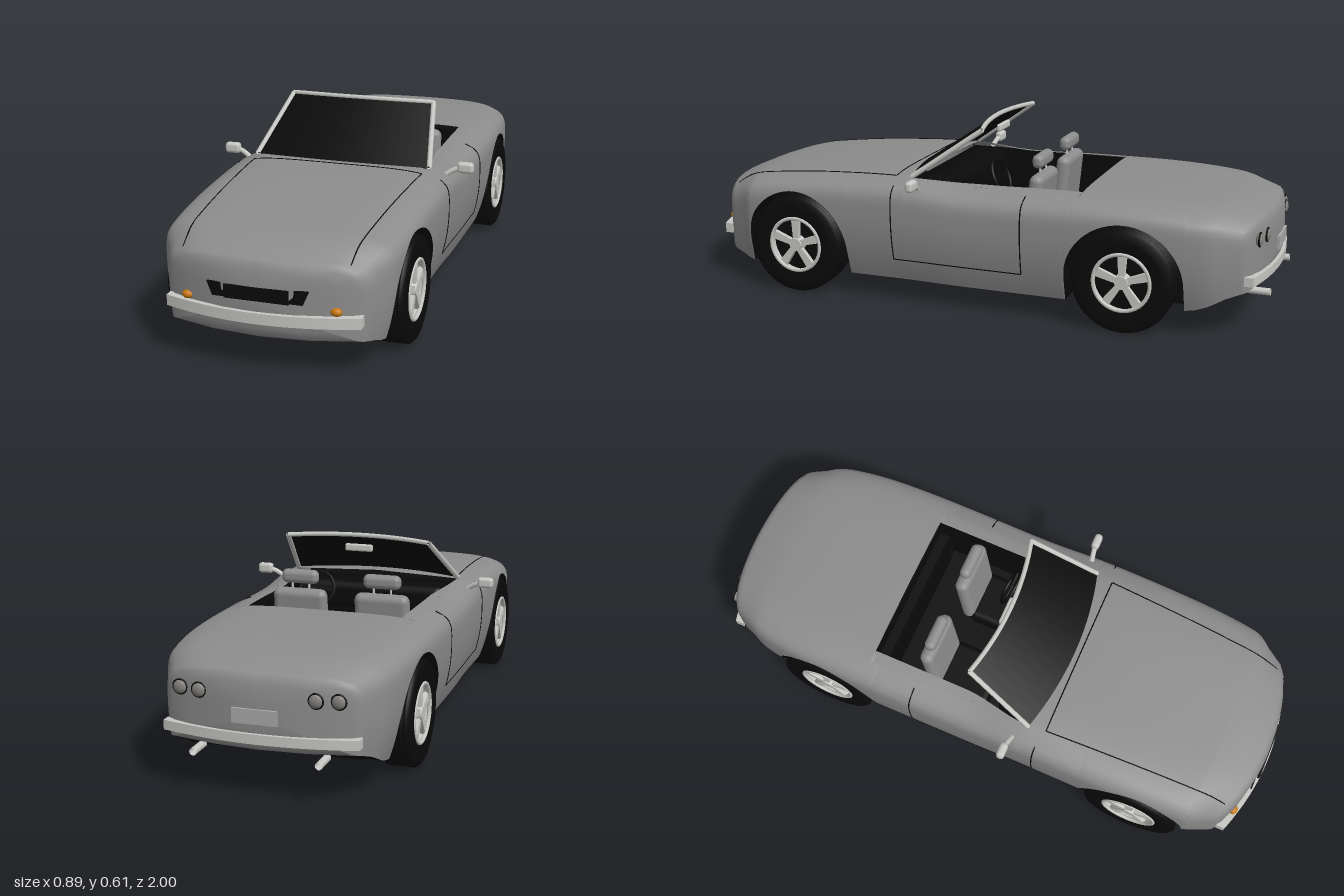
import * as THREE from 'three';
import { mergeVertices } from 'three/addons/utils/BufferGeometryUtils.js';
import { RoundedBoxGeometry } from 'three/addons/geometries/RoundedBoxGeometry.js';

const mat = (name, color, side = THREE.FrontSide) => {
  const m = new THREE.MeshStandardMaterial({ color, side });
  m.name = name;
  return m;
};
const V = (x, y, z) => new THREE.Vector3(x, y, z);
const lerp = THREE.MathUtils.lerp;

// Smooth curve through [position, value] pairs
function table(t) {
  const slope = i => {
    const a = t[Math.max(i - 1, 0)], b = t[Math.min(i + 1, t.length - 1)];
    return (b[1] - a[1]) / (b[0] - a[0]);
  };
  return s => {
    let i = 0;
    while (i < t.length - 2 && s > t[i + 1][0]) i++;
    const d = t[i + 1][0] - t[i][0], u = THREE.MathUtils.clamp((s - t[i][0]) / d, 0, 1);
    const w = u * u * (3 - 2 * u);
    return lerp(t[i][1], t[i + 1][1], w) + d * u * (1 - u) * ((1 - u) * slope(i) - u * slope(i + 1));
  };
}

// Body shape along the car: half width, top height, sill height
const halfWidth = table([[-.96, .31], [-.85, .35], [-.6, .382], [0, .385], [.5, .385], [.75, .375], [.88, .35], [.95, .32]]);
const topY = table([[-.96, .39], [-.85, .415], [-.6, .43], [-.3, .43], [0, .425], [.2, .44], [.5, .427], [.75, .402], [.88, .38], [.95, .35]]);
const sillY = table([[-.96, .15], [-.85, .11], [-.75, .085], [-.6, .08], [.7, .08], [.85, .085], [.95, .105]]);
const axles = [.615, -.556], archR = .195, archY = .165, REAR = -.96, FRONT = .95, N = 4.5;
const bottomY = s => {
  for (const c of axles) if (Math.abs(s - c) <= archR + 1e-4) return archY + Math.sqrt(Math.max(0, archR ** 2 - (s - c) ** 2));
  return sillY(s);
};
const rimX = s => (s >= -.39 && s <= .2 ? lerp(.265, .302, THREE.MathUtils.smoothstep(s, -.05, .2)) : 0);
const midY = s => topY(s) - .13;
const xAt = (s, y) => {
  const m = midY(s), W = halfWidth(s);
  if (y <= m) return W * (1 - .11 * ((m - y) / .22) ** 2);
  return W * (1 - Math.min(1, (y - m) / .13) ** N) ** (1 / N);
};
const yAt = (s, x) => midY(s) + .13 * (1 - Math.min(1, x / halfWidth(s)) ** N) ** (1 / N);
const bend = (s, x) => s - Math.sign(s) * (s > 0 ? .6 : .45) * THREE.MathUtils.smoothstep(Math.abs(s), .78, .95) * x * x;
const topPoint = (s, x, lift = 0) => V(x, yAt(s, Math.abs(x)) + lift, bend(s, x));

// Half cross-section from the floor centre, around the side, to the top centre or cockpit rim
function section(s) {
  const yb = bottomY(s), yk = midY(s) + .117, xb = xAt(s, yb), xk = xAt(s, yk), p = [[0, yb], [xb / 2, yb]];
  for (let i = 0; i <= 18; i++) { const y = lerp(yb, yk, i / 18); p.push([xAt(s, y), y]); }
  for (let i = 1; i <= 10; i++) { const x = lerp(xk, rimX(s), i / 10); p.push([x, yAt(s, x)]); }
  return p.map(([x, y]) => V(x, y, bend(s, x)));
}
// Rounded end sections that shrink to the middle of the nose or tail
function cap(s, cy) {
  return [[.97, .012], [.9, .022], [.7, .03], [.35, .034], [0, .035]].map(([f, d]) =>
    section(s).map(p => V(p.x * f, cy + (p.y - cy) * f, bend(s, p.x * f) + Math.sign(s) * d)));
}

// Surface through rows of points, optionally mirrored in x
function skin(rows, mirror) {
  const pos = [], idx = [];
  for (const k of mirror ? [1, -1] : [1]) {
    const base = pos.length / 3, n = rows[0].length;
    rows.forEach(r => r.forEach(p => pos.push(p.x * k, p.y, p.z)));
    for (let i = 0; i < rows.length - 1; i++) for (let j = 0; j < n - 1; j++) {
      const a = base + i * n + j, b = a + n, c = a + 1, d = b + 1;
      idx.push(...(k > 0 ? [a, c, b, b, c, d] : [a, b, c, b, d, c]));
    }
  }
  let g = new THREE.BufferGeometry();
  g.setAttribute('position', new THREE.Float32BufferAttribute(pos, 3));
  g.setIndex(idx);
  g = mergeVertices(g, 1e-5);
  g.computeVertexNormals();
  return g;
}

export function createModel() {
  const car = new THREE.Group();
  car.name = 'convertible';
  const paint = mat('grey paint', 0x8c8c8c, THREE.DoubleSide);
  const chrome = mat('light metal', 0xc6c6c2, THREE.DoubleSide);
  const black = mat('black', 0x0a0a0a, THREE.DoubleSide);
  const amber = mat('amber', 0xc8780f);
  const lampGrey = mat('lamp grey', 0x85827e);
  const plateGrey = mat('plate grey', 0xaaaaaa);
  const add = (name, geo, m, x = 0, y = 0, z = 0, parent = car) => {
    const o = new THREE.Mesh(geo, m);
    o.name = name;
    o.position.set(x, y, z);
    parent.add(o);
    return o;
  };
  const tube = (name, pts, r, m, seg = 24, sides = 8) =>
    add(name, new THREE.TubeGeometry(new THREE.CatmullRomCurve3(pts), seg, r, sides), m);
  const range = (n, f) => Array.from({ length: n + 1 }, (_, i) => f(i / n));

  // Body shell with open wheel arches and cockpit
  const stations = [-.391, -.39, .2, .201, ...range(44, t => lerp(REAR, FRONT, t)).filter(s => axles.every(c => Math.abs(s - c) > archR + .004))];
  for (const c of axles) stations.push(c - archR - .001, c + archR + .001, ...range(28, t => c + archR * Math.cos(Math.PI * t)));
  stations.sort((a, b) => a - b);
  const main = stations.map(section), tail = cap(REAR, .27).reverse(), nose = cap(FRONT, .23);
  const cut = (rows, a, b) => rows.map(r => r.slice(a, b));
  add('bodyShell', skin(cut([...tail, ...main, ...nose], 2), true), paint);
  add('noseUnderside', skin(cut([main.at(-1), ...nose], 0, 3), true), paint);
  add('tailUnderside', skin(cut([...tail, main[0]], 0, 3), true), paint);
  add('floorAndArches', skin(cut(main, 0, 3), true), black);
  add('underbody', new THREE.BoxGeometry(.52, .06, 1.6), black, 0, .112, .02);
  for (const c of axles) add('wheelTunnel', new THREE.BoxGeometry(.52, .26, .4), black, 0, .215, c);

  // Cockpit tub, open at the top
  const tub = new THREE.BoxGeometry(.59, .27, .6);
  const ti = [...tub.index.array];
  ti.splice(12, 6);
  tub.setIndex(ti);
  tub.clearGroups();
  add('cockpitTub', tub, black, 0, .28, -.09);
  add('dashboard', new RoundedBoxGeometry(.56, .1, .12, 2, .03), black, 0, .37, .13);

  // Seats
  for (const k of [1, -1]) {
    const x = .145 * k;
    add('seatCushion', new RoundedBoxGeometry(.19, .07, .2, 2, .025), black, x, .2, -.09);
    add('seatBack', new RoundedBoxGeometry(.19, .26, .05, 3, .024), paint, x, .325, -.205).rotation.x = -.1;
    add('headrest', new RoundedBoxGeometry(.13, .048, .04, 3, .019), paint, x, .495, -.212);
    for (const d of [-.03, .03]) add('headrestPost', new THREE.CylinderGeometry(.004, .004, .05, 6), chrome, x + d, .46, -.212);
  }

  // Steering wheel
  const steer = new THREE.Group();
  steer.name = 'steeringWheel';
  steer.position.set(.14, .42, -.06);
  steer.rotation.x = .4;
  car.add(steer);
  add('steeringRim', new THREE.TorusGeometry(.062, .006, 8, 28), black, 0, 0, 0, steer);
  add('steeringSpoke', new THREE.BoxGeometry(.12, .016, .006), black, 0, 0, 0, steer);
  add('steeringColumn', new THREE.CylinderGeometry(.012, .012, .16, 8).rotateX(Math.PI / 2), black, 0, 0, .08, steer);

  // Windscreen and frame
  const low = u => V(.305 * u, .433 + .01 * (1 - u * u), .2 + .042 * (1 - u * u));
  const high = u => V(.256 * u, .6 + .007 * (1 - u * u), -.035 + .035 * (1 - u * u));
  const across = f => range(16, t => f(t * 2 - 1));
  add('windscreen', skin([across(low), across(high)]), black);
  tube('screenTopRail', across(high), .008, chrome, 32);
  for (const u of [-1, 1]) tube('screenPillar', [low(u), high(u)], .009, chrome, 2);
  add('rearViewMirror', new RoundedBoxGeometry(.1, .026, .016, 2, .007), chrome, 0, .565, -.015);

  // Door mirrors
  for (const k of [1, -1]) {
    add('doorMirror', new RoundedBoxGeometry(.056, .038, .028, 2, .012), chrome, .417 * k, .431, .152);
    tube('mirrorArm', [V(.352 * k, .405, .16), V(.375 * k, .42, .156), V(.4 * k, .43, .152)], .009, chrome, 6);
  }

  // Bumpers bent around the nose and tail
  const bumper = (name, h, d, z0, curve, y) => {
    const g = new THREE.BoxGeometry(.61, h, d, 24, 1, 1), p = g.attributes.position;
    for (let i = 0; i < p.count; i++) p.setZ(i, p.getZ(i) + z0 - curve * p.getX(i) ** 2);
    g.computeVertexNormals();
    add(name, g, chrome, 0, y, 0);
  };
  bumper('frontBumper', .034, .03, .982, .6, .178);
  bumper('rearBumper', .03, .03, -.988, -.45, .195);

  // Grille opening, indicators, tail lamps, plate and exhausts
  const slot = new THREE.Shape([[-.158, .27], [-.14, .228], [.14, .228], [.158, .27]].map(a => new THREE.Vector2(...a)));
  const grille = new THREE.ExtrudeGeometry(slot, { depth: .006, bevelEnabled: false });
  for (let i = 0, p = grille.attributes.position; i < p.count; i++) p.setZ(i, p.getZ(i) + .984 - .6 * p.getX(i) ** 2);
  // Central bar closes the flat middle of the bent opening
  add('grille', grille, black);
  add('grilleCentre', new THREE.BoxGeometry(.2, .042, .006), black, 0, .249, .984);
  for (const k of [1, -1]) {
    add('indicator', new THREE.SphereGeometry(1, 16, 10).scale(.018, .013, .014), amber, .232 * k, .208, .947);
    for (const x of [.18, .245]) {
      add('tailLamp', new THREE.SphereGeometry(1, 18, 12).scale(.022, .022, .012), lampGrey, x * k, .32, -.99 + .45 * x * x);
      add('tailLampRing', new THREE.TorusGeometry(.022, .003, 6, 20), black, x * k, .32, -.992 + .45 * x * x);
    }
    add('exhaust', new THREE.CylinderGeometry(.012, .012, .075, 12, 1, true).rotateX(Math.PI / 2), chrome, .195 * k, .135, -.962);
  }
  add('rearPlate', new THREE.BoxGeometry(.14, .045, .008), plateGrey, 0, .262, -.997);

  // Panel seams on bonnet and doors
  const seam = (pts, r = .0022) => tube('panelSeam', pts, r, black, 30, 4);
  seam(range(20, t => topPoint(.26, lerp(-.295, .295, t))));
  for (const k of [1, -1]) {
    seam(range(20, t => topPoint(lerp(.26, .945, t), lerp(.295, .262, t) * k)));
    const side = (s, y) => V(xAt(s, y) * k, y, s);
    for (const s of [.245, -.215]) seam(range(12, t => side(s, lerp(.155, .41, t))));
    seam(range(8, t => side(lerp(.245, -.215, t), .155)));
  }

  // Wheels: grooved tyre, rim and five spokes, outer face towards +x
  const profile = [[.098, -.048], [.135, -.053], [.16, -.05], [.17, -.04]];
  for (let i = -2; i <= 2; i++) profile.push([.17, i * .015 - .005], [.165, i * .015 - .002], [.165, i * .015 + .002], [.17, i * .015 + .005]);
  profile.push([.17, .04], [.16, .05], [.135, .053], [.098, .048]);
  const onX = g => g.rotateZ(-Math.PI / 2);
  const tyre = onX(new THREE.LatheGeometry(profile.map(a => new THREE.Vector2(...a)), 40));
  const barrel = onX(new THREE.CylinderGeometry(.098, .098, .096, 32, 1, true));
  const lip = new THREE.TorusGeometry(.094, .007, 8, 36).rotateY(Math.PI / 2);
  const spoke = new THREE.BoxGeometry(.016, .075, .03).translate(0, .055, 0);
  for (let i = 0, p = spoke.attributes.position; i < p.count; i++) if (p.getY(i) < .05) p.setZ(i, p.getZ(i) * .65);
  for (const z of axles) for (const k of [1, -1]) {
    const w = new THREE.Group();
    w.name = z > 0 ? 'frontWheel' : 'rearWheel';
    w.position.set(.332 * k, .17, z);
    w.rotation.y = k > 0 ? 0 : Math.PI;
    car.add(w);
    add('tyre', tyre, black, 0, 0, 0, w);
    add('rimBarrel', barrel, chrome, 0, 0, 0, w);
    add('rimLip', lip, chrome, .046, 0, 0, w);
    add('brakeDisc', onX(new THREE.CylinderGeometry(.097, .097, .01, 32)), black, .012, 0, 0, w);
    add('rimBack', onX(new THREE.CylinderGeometry(.097, .097, .01, 32)), chrome, -.02, 0, 0, w);
    add('hub', onX(new THREE.CylinderGeometry(.022, .028, .03, 16)), chrome, .036, 0, 0, w);
    for (let i = 0; i < 5; i++) add('spoke', spoke, chrome, .038, 0, 0, w).rotation.x = i * Math.PI * .4;
  }
  return car;
}
